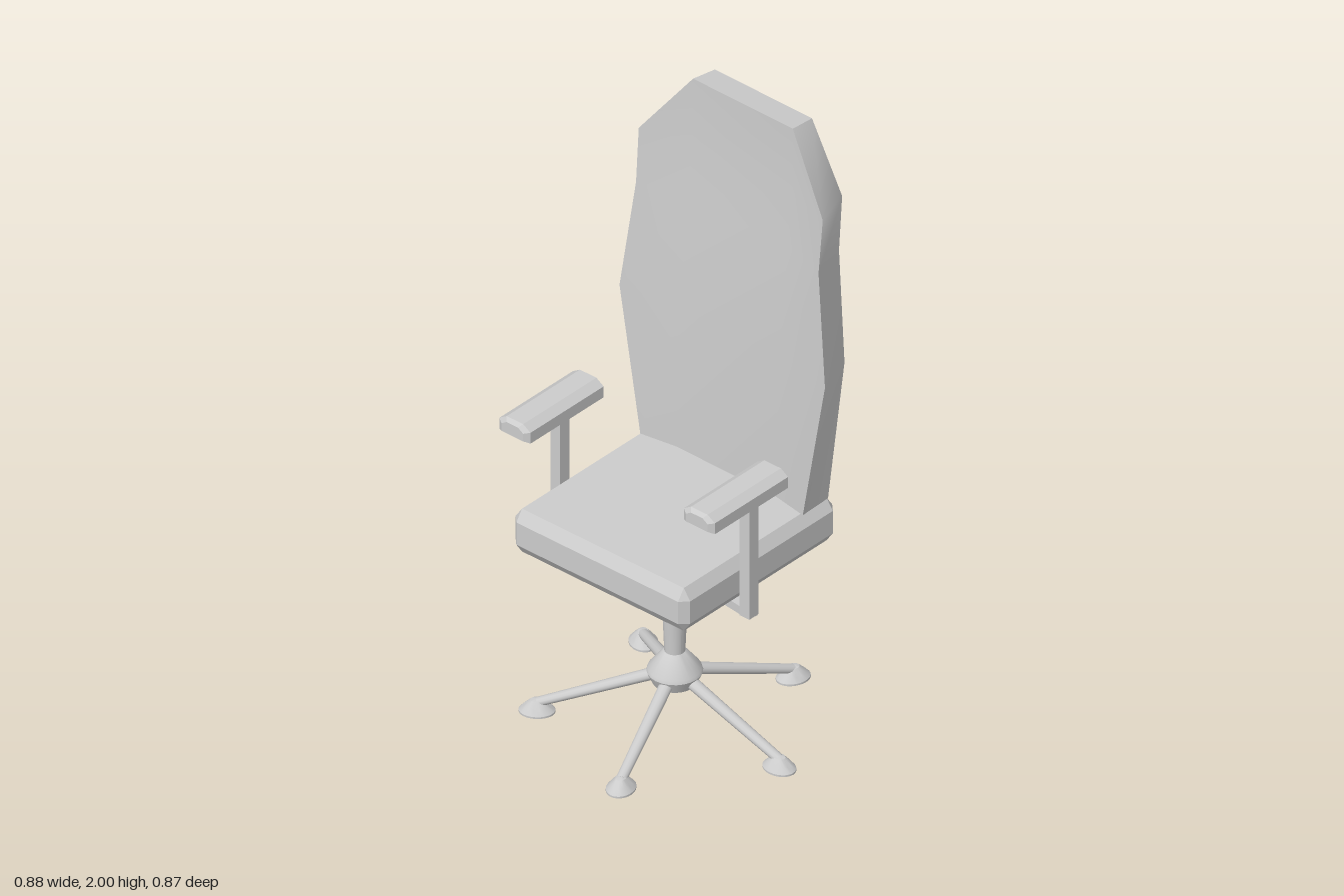
import * as THREE from 'three';
import { toCreasedNormals } from 'three/addons/utils/BufferGeometryUtils.js';
import { ConvexGeometry } from 'three/addons/geometries/ConvexGeometry.js';

const CX = -0.022; // sideways centre of seat and arms
const BX = -0.018, BZ = -0.005; // axis of column and legs
const grey = new THREE.MeshStandardMaterial({ color: 0xcccccc });
const V = (x, y, z) => new THREE.Vector3(x, y, z);

function part(parent, name, geometry, x = 0, y = 0, z = 0) {
  const mesh = new THREE.Mesh(geometry, grey);
  mesh.name = name;
  mesh.position.set(x, y, z);
  parent.add(mesh);
  return mesh;
}

const lathe = (points, sides = 24) => toCreasedNormals(
  new THREE.LatheGeometry(points.map(([r, y]) => new THREE.Vector2(r, y)), sides), 0.5);

// Box with every edge and corner cut: bx, by, bz are the cut sizes
function chamferBox(hx, hy, hz, bx, by, bz) {
  const points = [];
  for (const sx of [-1, 1]) for (const sy of [-1, 1]) for (const sz of [-1, 1]) {
    points.push(
      V(sx * hx, sy * (hy - by), sz * (hz - bz)),
      V(sx * (hx - bx), sy * hy, sz * (hz - bz)),
      V(sx * (hx - bx), sy * (hy - by), sz * hz));
  }
  return new ConvexGeometry(points);
}

// Backrest lofted through rings of eight points, wrapping forward at the sides
function backrestGeometry() {
  // y, front half width, back half width, z: front side, front middle, back side, back middle
  const levels = [
    [0.748, 0.318, 0.313, -0.210, -0.230, -0.325, -0.335],
    [1.230, 0.402, 0.355, -0.213, -0.246, -0.350, -0.375],
    [1.600, 0.357, 0.320, -0.235, -0.280, -0.365, -0.410],
    [1.780, 0.360, 0.317, -0.250, -0.299, -0.382, -0.430],
    [2.000, 0.195, 0.190, -0.303, -0.303, -0.392, -0.392],
  ];
  const mid = 0.195;
  const rings = levels.map(([y, f, b, fs, fm, bs, bm]) => {
    const yb = y === 2 ? 1.99 : y;
    const bmid = Math.min(mid, b);
    return [V(-f, y, fs), V(-mid, y, fm), V(mid, y, fm), V(f, y, fs),
      V(b, yb, bs), V(bmid, yb, bm), V(-bmid, yb, bm), V(-b, yb, bs)];
  });
  const pos = [];
  const quad = (a, b, c, d) => [a, b, c, a, c, d].forEach((p) => pos.push(p.x, p.y, p.z));
  for (let i = 0; i < rings.length - 1; i++) {
    for (let j = 0; j < 8; j++) {
      const k = (j + 1) % 8;
      quad(rings[i][j], rings[i][k], rings[i + 1][k], rings[i + 1][j]);
    }
  }
  const low = rings[0], top = rings[rings.length - 1];
  for (let j = 0; j < 3; j++) quad(low[7 - j], low[6 - j], low[j + 1], low[j]);
  quad(top[1], top[2], top[5], top[6]);
  const geometry = new THREE.BufferGeometry();
  geometry.setAttribute('position', new THREE.Float32BufferAttribute(pos, 3));
  return toCreasedNormals(geometry, 0.7);
}

// Armrest pad: chamfered top edges and a narrowed front end
function padGeometry() {
  const section = [[-0.06, 0], [0.06, 0], [0.06, 0.038], [0.032, 0.056], [-0.032, 0.056], [-0.06, 0.038]];
  const points = [];
  for (const [x, y] of section) {
    points.push(V(x, y, -0.034), V(x, y, 0.288), V(x * 0.7, 0.02 + (y - 0.02) * 0.7, 0.3));
  }
  return new ConvexGeometry(points);
}

export function createModel() {
  const chair = new THREE.Group();
  chair.name = 'officeChair';

  // Seat and backrest
  part(chair, 'seat', chamferBox(0.338, 0.075, 0.339, 0.025, 0.036, 0.025), CX, 0.673, -0.007);
  part(chair, 'backrest', backrestGeometry(), CX + 0.002, 0, 0).rotation.y = -0.012;

  // Armrests
  for (const side of [1, -1]) {
    const arm = new THREE.Group();
    arm.name = side > 0 ? 'leftArmrest' : 'rightArmrest';
    arm.position.x = CX;
    chair.add(arm);
    part(arm, 'armPad', padGeometry(), side * 0.357, 0.973, 0);
    part(arm, 'armPost', new THREE.BoxGeometry(0.037, 0.415, 0.04), side * 0.366, 0.771, 0.08);
    const from = V(side * 0.38, 0.575, 0.08), to = V(side * 0.04, 0.55, 0.015);
    const bar = part(arm, 'armBar', new THREE.BoxGeometry(0.035, 0.028, from.distanceTo(to)));
    bar.position.copy(from).add(to).multiplyScalar(0.5);
    bar.lookAt(to.x + CX, to.y, to.z);
  }

  // Column with mounting hub on top and flared base hub below
  part(chair, 'column', lathe([
    [0, 0.13], [0.066, 0.13], [0.073, 0.145], [0.083, 0.168], [0.08, 0.178],
    [0.036, 0.234], [0.031, 0.238], [0.043, 0.535], [0.087, 0.535], [0.087, 0.6], [0, 0.6],
  ]), BX, 0, BZ);

  // Five flattened legs with oval, low conical feet
  for (let i = 0; i < 5; i++) {
    const leg = new THREE.Group();
    leg.name = 'leg' + (i + 1);
    leg.position.set(BX, 0, BZ);
    leg.rotation.y = -i * Math.PI * 2 / 5 + 0.008;
    chair.add(leg);
    const from = V(0.04, 0.16, 0), to = V(0.4, 0.032, 0);
    const dir = to.clone().sub(from);
    const spoke = part(leg, 'spoke', new THREE.CylinderGeometry(0.014, 0.018, dir.length(), 12));
    spoke.position.copy(from).add(to).multiplyScalar(0.5);
    spoke.quaternion.setFromUnitVectors(V(0, 1, 0), dir.normalize());
    spoke.scale.z = 1.2;
    const foot = part(leg, 'foot', lathe([
      [0, 0], [0.05, 0], [0.05, 0.006], [0.036, 0.022], [0.018, 0.04], [0, 0.045],
    ]), 0.402);
    foot.scale.set(1.08, 1, 0.86);
  }
  return chair;
}
